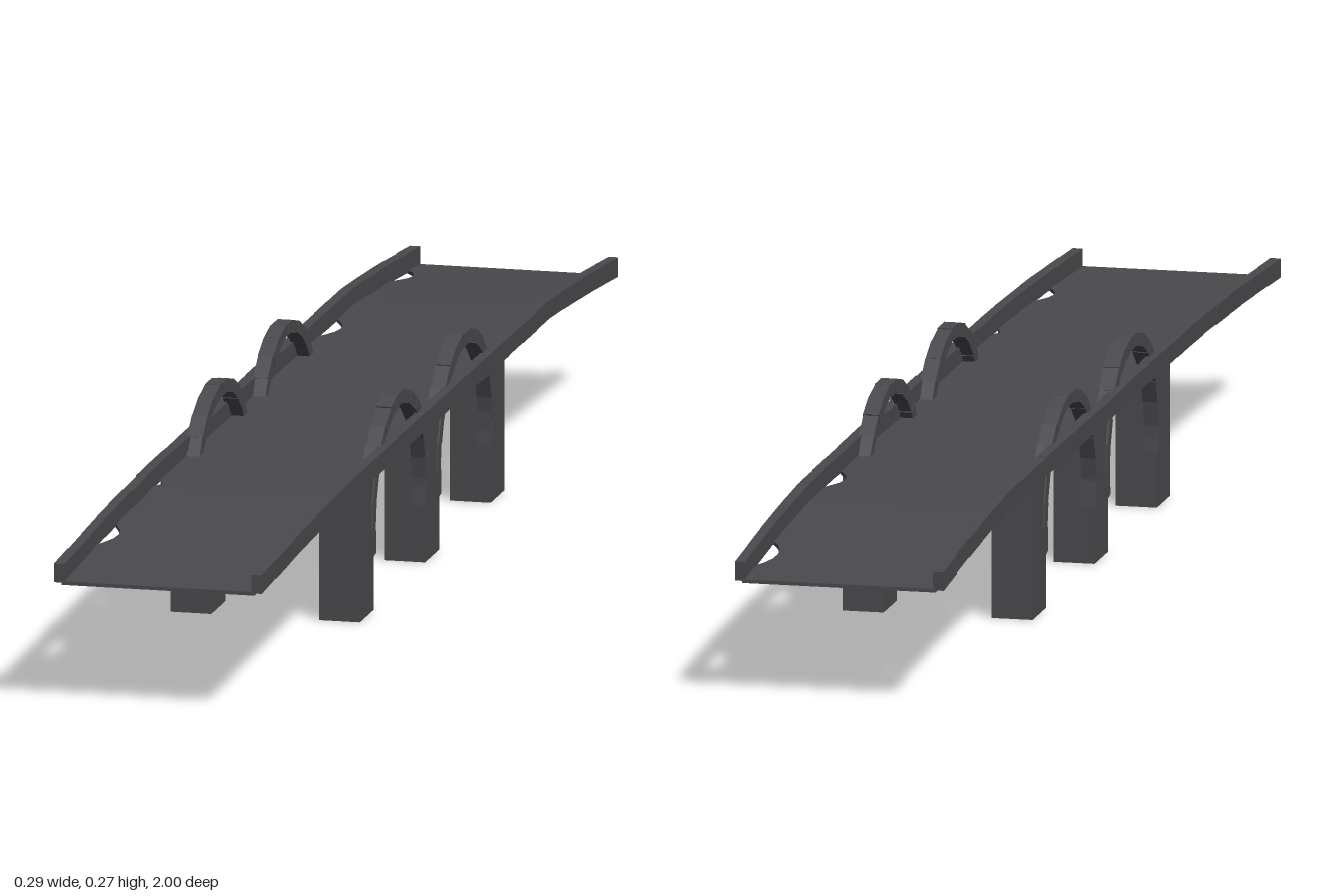
import * as THREE from 'three';

export function createModel() {
  const model = new THREE.Group();
  const stone = new THREE.MeshStandardMaterial({ color: 0x4a494d });
  stone.name = 'dark stone';
  stone.flatShading = true;

  let seed = 7;
  const jitter = (a) => {
    seed = (seed * 16807) % 2147483647;
    return (seed / 2147483647 - 0.5) * 2 * a;
  };
  const add = (parent, name, geometry) => {
    const mesh = new THREE.Mesh(geometry, stone);
    mesh.name = name;
    parent.add(mesh);
    return mesh;
  };

  // Height of the road surface along its length: level middle, sloping ends
  const profile = [[-1, 0.167], [-0.82, 0.183], [-0.63, 0.196], [0.5, 0.197], [0.75, 0.19], [1, 0.178]];
  const roadY = (z) => {
    let i = 0;
    while (i < profile.length - 2 && z > profile[i + 1][0]) i++;
    const [z0, y0] = profile[i], [z1, y1] = profile[i + 1];
    return y0 + (y1 - y0) * (z - z0) / (z1 - z0);
  };

  // Road deck: thin slab whose edges are worn away in a few places
  const worn = [[-0.88, 0.06, 0.022], [-0.48, 0.055, 0.022], [0.48, 0.025, 0.012], [0.76, 0.055, 0.02]];
  const deck = new THREE.BoxGeometry(0.27, 0.005, 2, 1, 1, 100);
  const p = deck.attributes.position;
  for (let i = 0; i < p.count; i++) {
    const z = p.getZ(i);
    let half = 0.135;
    for (const [c, r, d] of worn) half -= d * Math.max(0, 1 - ((z - c) / r) ** 2);
    p.setX(i, Math.sign(p.getX(i)) * half);
    p.setY(i, p.getY(i) + roadY(z) - 0.0025);
  }
  deck.computeVertexNormals();
  add(model, 'roadDeck', deck);

  for (const side of [1, -1]) {
    const label = side > 0 ? 'left' : 'right';

    // Parapet: a row of slightly uneven blocks following the road
    const parapet = new THREE.Group();
    parapet.name = label + 'Parapet';
    model.add(parapet);
    const count = 26;
    for (let i = 0; i < count; i++) {
      const z0 = -1 + 2 * i / count, z1 = z0 + 2 / count;
      const y0 = roadY(z0), y1 = roadY(z1);
      const block = add(parapet, 'parapetBlock',
        new THREE.BoxGeometry(0.0145 + jitter(0.001), 0.026 + jitter(0.001), Math.hypot(z1 - z0, y1 - y0)));
      block.position.set(side * (0.138 + jitter(0.0008)), (y0 + y1) / 2 + 0.011, (z0 + z1) / 2);
      block.rotation.x = -Math.atan2(y1 - y0, z1 - z0);
    }

    // Square piers
    for (const z of [0.36, -0.008, -0.375]) {
      const pier = add(model, label + 'Pier', new THREE.BoxGeometry(0.057, 0.193, 0.079));
      pier.position.set(side * 0.1035, 0.0965, z);
    }

    // Arches of wedge stones, rising through the deck between the piers
    for (const z of [0.176, -0.192]) {
      const arch = new THREE.Group();
      arch.name = label + 'Arch';
      arch.position.set(side * 0.124, 0.108, z);
      arch.rotation.y = -Math.PI / 2;
      model.add(arch);
      const stones = 15;
      const start = -0.2, step = (Math.PI + 0.4) / stones;
      for (let i = 0; i < stones; i++) {
        const a = start + i * step, b = a + step;
        const inner = 0.145 + jitter(0.001), outer = 0.163 + jitter(0.0015);
        const depth = 0.021 + jitter(0.001);
        const wedge = new THREE.Shape([[inner, a], [outer, a], [outer, b], [inner, b]]
          .map(([r, t]) => new THREE.Vector2(r * Math.cos(t), r * Math.sin(t))));
        const geometry = new THREE.ExtrudeGeometry(wedge, { depth, bevelEnabled: false });
        geometry.translate(0, 0, -depth / 2);
        add(arch, 'archStone', geometry);
      }
    }
  }
  return model;
}
